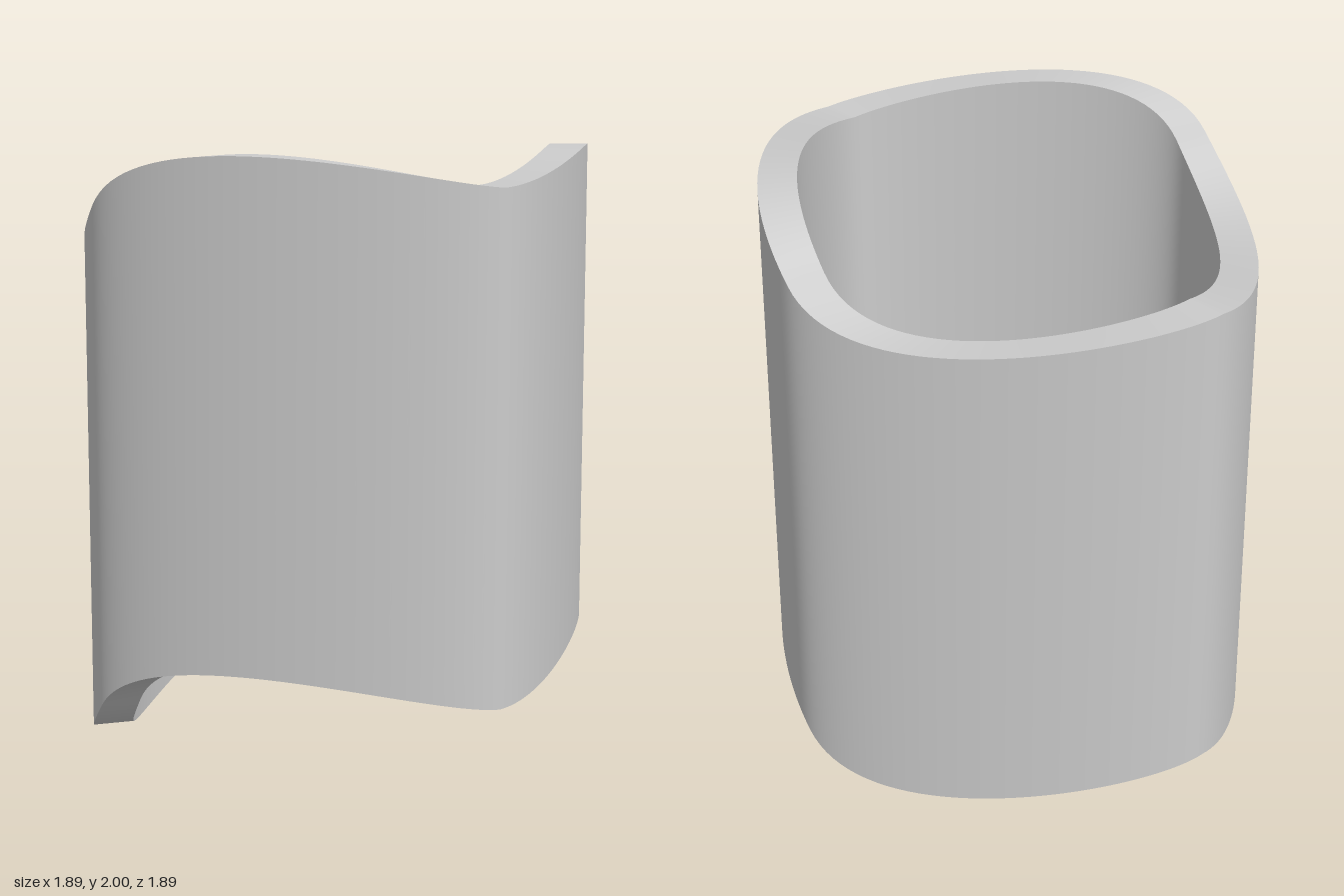
import * as THREE from 'three';

const RADIUS = 0.945, HANDLE = 0.28, INNER = 0.847, STEPS = 40;

const bezier = (t, a, b, c, d) => {
  const u = 1 - t;
  return u * u * u * a + 3 * u * u * t * b + 3 * u * t * t * c + t * t * t * d;
};

// Rounded diamond outline; h is the wave of the rim (high in front, low behind)
function outline() {
  const points = [];
  for (let q = 0; q < 4; q++) {
    const signX = q === 0 || q === 3 ? 1 : -1;
    const signZ = q < 2 ? 1 : -1;
    for (let i = 0; i < STEPS; i++) {
      const t = q % 2 ? 1 - i / STEPS : i / STEPS;
      points.push({
        x: signX * bezier(t, RADIUS, RADIUS, HANDLE, 0),
        z: signZ * bezier(t, 0, HANDLE, RADIUS, RADIUS),
        h: signZ * bezier(t, 0, 0.318, 0.095, 0.076),
      });
    }
  }
  return points;
}

// Closed strip between two rings, each given as [scale, base height]
function strip(points, [scaleA, yA], [scaleB, yB]) {
  const position = [], index = [], n = points.length;
  points.forEach(({ x, z, h }, i) => {
    position.push(x * scaleA, yA + h, z * scaleA, x * scaleB, yB + h, z * scaleB);
    const a = 2 * i, c = 2 * ((i + 1) % n);
    index.push(a, a + 1, c, a + 1, c + 1, c);
  });
  const geometry = new THREE.BufferGeometry();
  geometry.setAttribute('position', new THREE.Float32BufferAttribute(position, 3));
  geometry.setIndex(index);
  geometry.computeVertexNormals();
  return geometry;
}

export function createModel() {
  const group = new THREE.Group();
  group.name = 'wavyTube';
  const material = new THREE.MeshStandardMaterial({ color: 0xcccccc });
  const points = outline();

  // Corners of the wall section, going round from the outer bottom edge
  const corners = [[1, 0.17], [1, 1.83], [INNER, 1.83], [INNER, 0.17]];
  ['outerWall', 'topRim', 'innerWall', 'bottomRim'].forEach((name, i) => {
    const mesh = new THREE.Mesh(strip(points, corners[i], corners[(i + 1) % 4]), material);
    mesh.name = name;
    group.add(mesh);
  });
  return group;
}
